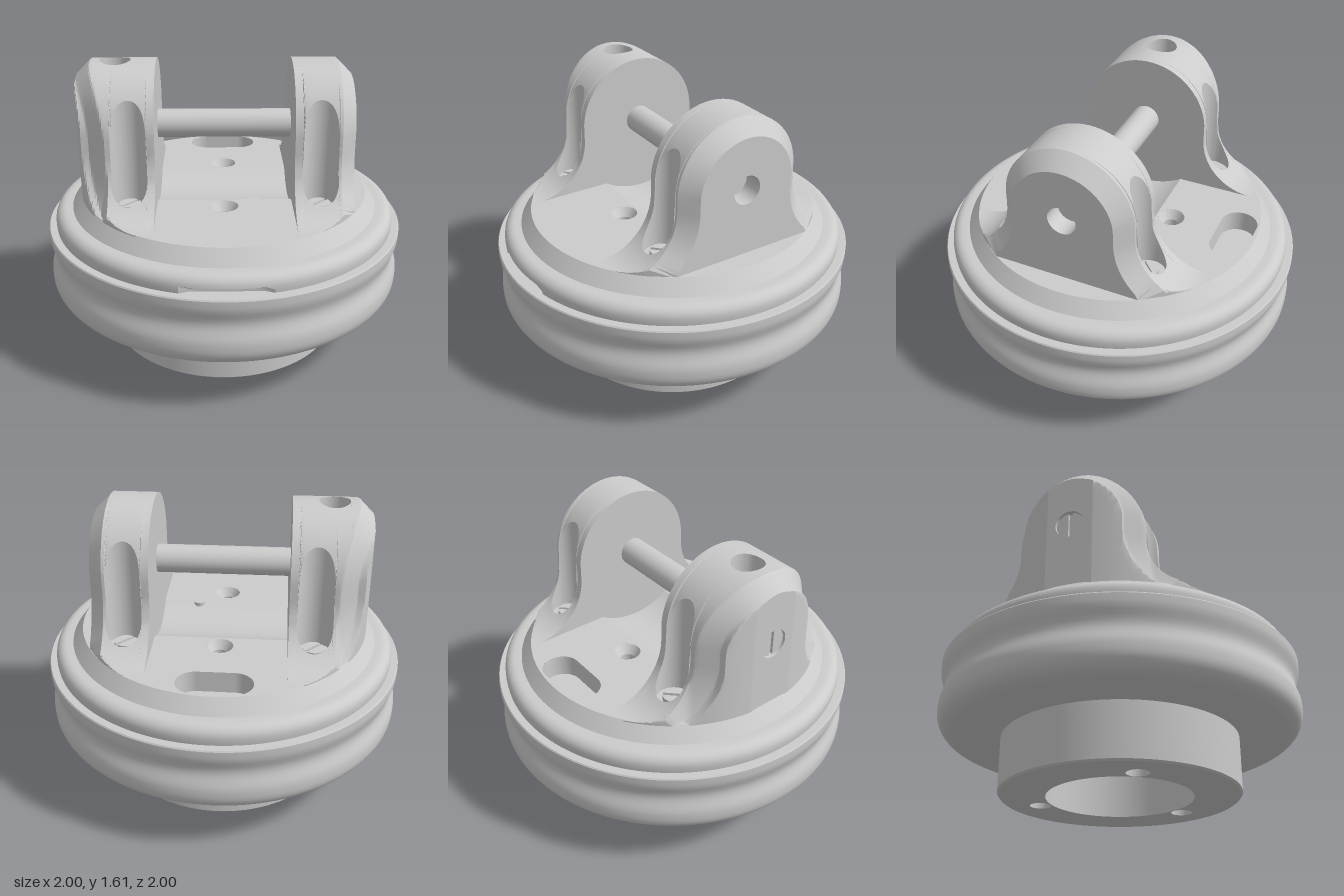
import * as THREE from 'three';
import { toCreasedNormals } from 'three/addons/utils/BufferGeometryUtils.js';

const mat = new THREE.MeshStandardMaterial({ color: 0xcccccc });
const inside = new THREE.MeshStandardMaterial({ color: 0xcccccc, side: THREE.BackSide });
const V = (x, y) => new THREE.Vector2(x, y);

const ARC = 0.355, ARC_Y = 1.25;            // rounded top of a bracket
const FLARE = 0.31, FLARE_Z = 0.665, FLARE_Y = 1.19; // concave foot
const BORE_X = 0.5, BORE_Z = 0.38, BORE_R = 0.095, BORE_FLOOR = 0.9;
const TOP_X = -0.585, TOP_R = 0.083, TOP_FLOOR = 1.45;
const AXLE_Y = 1.245, AXLE_R = 0.078;
const FACE_X = 0.365, DECK_Y = 0.88;

function add(group, name, geo, material = mat) {
  const mesh = new THREE.Mesh(geo, material);
  mesh.name = name;
  group.add(mesh);
  return mesh;
}

function circleHole(x, y, r) {
  return new THREE.Path().absarc(x, y, r, 0, Math.PI * 2, true);
}

// Bracket outline: t 0..1 runs over the top arc, 1..2 down the flared foot
function outline(t) {
  if (t <= 1) {
    const a = t * Math.PI / 2, s = Math.sin(a), c = Math.cos(a);
    return { z: ARC * s, y: ARC_Y + ARC * c, nz: s, ny: c };
  }
  const a = (t - 1) * Math.PI / 2, s = Math.sin(a), c = Math.cos(a);
  return { z: FLARE_Z - FLARE * c, y: FLARE_Y - FLARE * s, nz: c, ny: s };
}
const tAt = z => (z <= ARC ? Math.asin(z / ARC) : Math.PI / 2 + Math.acos((FLARE_Z - z) / FLARE)) / (Math.PI / 2);
const chord = (d, r) => Math.sqrt(Math.max(0, r * r - d * d));

// Cross-section of a bracket at x, cut by the screw bores and rounded to the deck
function section(x) {
  const side = Math.sign(x), limit = chord(x, side > 0 ? 0.8 : 0.805);
  const s = chord(Math.abs(x) - BORE_X, BORE_R);
  const sTop = chord(x - TOP_X, TOP_R);
  const half = [];
  const run = (t0, t1, n) => {
    for (let i = 0; i <= n; i++) {
      const p = outline(t0 + (t1 - t0) * i / n);
      const past = Math.max(0, Math.abs(x) - 0.61);
      const d = side > 0 ? past : Math.min(past * 2, 0.08, Math.max(0, Math.hypot(x, Math.min(p.z, limit)) - 0.72));
      half.push([Math.min(Math.max(0, p.z - d * p.nz), limit), Math.max(0.87, p.y - d * p.ny)]);
    }
  };
  const topY = Math.abs(x - TOP_X) <= TOP_R + 1e-6 ? TOP_FLOOR : outline(0).y;
  if (sTop > 0) half.push([0, topY], [sTop, topY]);
  else half.push([0, outline(0).y - (side > 0 ? Math.max(0, x - 0.61) : 0)], [0, outline(0).y]);
  if (sTop === 0) half.length = 0;
  const lead = half.length;
  run(tAt(sTop), tAt(BORE_Z - s), 20);
  if (!lead) half.unshift(half[0], half[0]);
  const inBore = s > 0;
  const mid = half[half.length - 1];
  half.push(inBore ? [BORE_Z - s, BORE_FLOOR] : mid, inBore ? [BORE_Z + s, BORE_FLOOR] : mid);
  run(tAt(BORE_Z + s), 2, 12);
  half.push([half[half.length - 1][0], 0.79]);
  return [...half.slice(1).reverse().map(([z, y]) => [-z, y]), ...half];
}

// Skin between neighbouring cross-sections, leaving out empty triangles
function loft(xs) {
  const rows = xs.map(x => section(x).map(([z, y]) => new THREE.Vector3(x, y, z)));
  const pos = [], n = new THREE.Vector3(), e = new THREE.Vector3();
  const tri = (a, b, c) => {
    n.subVectors(b, a).cross(e.subVectors(c, a));
    if (n.length() > 1e-8) for (const p of [a, b, c]) pos.push(p.x, p.y, p.z);
  };
  for (let i = 0; i < rows.length - 1; i++) {
    const A = rows[i], B = rows[i + 1];
    for (let j = 0; j < A.length - 1; j++) {
      tri(A[j], A[j + 1], B[j]);
      tri(A[j + 1], B[j + 1], B[j]);
    }
  }
  const geo = new THREE.BufferGeometry();
  geo.setAttribute('position', new THREE.Float32BufferAttribute(pos, 3));
  return toCreasedNormals(geo, 0.5);
}

function endFace(x, facing, hole) {
  const pts = section(x).map(([z, y]) => V(z, y))
    .filter((p, i, all) => !i || p.distanceTo(all[i - 1]) > 1e-5);
  const shape = new THREE.Shape(pts);
  if (hole) shape.holes.push(circleHole(0, AXLE_Y, AXLE_R));
  return new THREE.ShapeGeometry(shape, 24).rotateY(facing * Math.PI / 2).translate(x, 0, 0);
}

// Hollow bore seen from within, optionally tapered
function bore(group, name, x, z, yTop, yLow, rTop, rLow = rTop) {
  const geo = new THREE.CylinderGeometry(rTop, rLow, yTop - yLow, 32, 1, true);
  return add(group, name, geo.translate(x, (yTop + yLow) / 2, z), inside);
}

// Slotted head made of two circle segments on a disc, standing on y = 0
function slottedHead(r, h, name) {
  const g = new THREE.Group();
  g.name = name;
  add(g, 'headDisc', new THREE.CylinderGeometry(r, r, h / 2, 32).translate(0, h / 4, 0));
  const a = Math.asin(0.15);
  const segment = new THREE.Shape().absarc(0, 0, r, a, Math.PI - a, false);
  for (const turn of [0, Math.PI]) {
    const geo = new THREE.ExtrudeGeometry(segment, { depth: h, bevelEnabled: false, curveSegments: 20 });
    add(g, 'headHalf', geo.rotateX(-Math.PI / 2).rotateY(turn));
  }
  return g;
}

function bracket(side) {
  const g = new THREE.Group();
  g.name = side > 0 ? 'leftBracket' : 'rightBracket';
  const end = side > 0 ? 0.69 : -0.795;
  const xs = [side * FACE_X, side * 0.61, end];
  for (let k = 0; k <= 20; k++) {
    const c = Math.cos(k * Math.PI / 20);
    xs.push(side * BORE_X + BORE_R * c);
    if (side < 0) xs.push(TOP_X + TOP_R * c);
  }
  if (side < 0) for (let k = 1; k < 16; k++) xs.push(-0.67 - 0.125 * k / 16);
  xs.sort((a, b) => a - b);
  add(g, 'bracketBody', loft(xs.filter((x, i) => !i || x - xs[i - 1] > 1e-5)));
  add(g, 'innerFace', endFace(side * FACE_X, -side, false));
  add(g, 'outerFace', endFace(end, side, true));
  // recessed axle seat
  const seat = new THREE.CylinderGeometry(AXLE_R, AXLE_R, 0.12, 32, 1, true).rotateZ(Math.PI / 2);
  add(g, 'axleSeat', seat.translate(end - side * 0.06, AXLE_Y, 0), inside);
  for (const z of [-BORE_Z, BORE_Z]) {
    const screw = slottedHead(0.058, 0.03, 'mountingScrew');
    screw.position.set(side * BORE_X, BORE_FLOOR, z);
    screw.rotation.y = Math.PI / 4;
    g.add(screw);
  }
  return g;
}

export function createModel() {
  const model = new THREE.Group();
  model.name = 'axleMount';

  // Turned body: spigot, grooved ring, rounded cap and conical shoulder
  const pts = [V(0.645, 0), V(0.655, 0.01), V(0.655, 0.305), V(0.895, 0.305)];
  for (let i = 1; i <= 8; i++) {
    const a = i / 8 * Math.PI / 2;
    pts.push(V(0.895 + 0.105 * Math.sin(a), 0.41 - 0.105 * Math.cos(a)));
  }
  for (let i = 0; i <= 10; i++) pts.push(V(1 - 0.026 * Math.sin(i / 10 * Math.PI) ** 2, 0.44 + 0.22 * i / 10));
  pts.push(V(1, 0.695), V(0.995, 0.702), V(0.955, 0.702), V(0.957, 0.72));
  for (let i = 0; i <= 6; i++) {
    const a = i / 6 * Math.PI / 2;
    pts.push(V(0.897 + 0.06 * Math.cos(a), 0.74 + 0.06 * Math.sin(a)));
  }
  pts.push(V(0.86, 0.8), V(0.8, DECK_Y));
  const body = new THREE.LatheGeometry(pts, 128);
  // finger notch at the front of the cap
  const p = body.attributes.position;
  for (let i = 0; i < p.count; i++) {
    const y = p.getY(i), z = p.getZ(i);
    if (y > 0.701 && y < 0.73 && Math.abs(p.getX(i)) < 0.19 && z > 0.8 && z < 0.96) p.setZ(i, Math.min(z, 0.91));
  }
  add(model, 'turnedBody', toCreasedNormals(body, 0.5));

  // Deck with trough opening, countersinks and oblong pocket
  const deck = new THREE.Shape().absarc(0, 0, 0.8, 0, Math.PI * 2, false);
  const T = 0.23;
  deck.holes.push(new THREE.Path([V(-FACE_X, -T), V(-FACE_X, T), V(FACE_X, T), V(FACE_X, -T)]));
  for (const z of [-0.315, 0.315]) {
    deck.holes.push(circleHole(0, -z, 0.073));
    bore(model, 'countersink', 0, z, DECK_Y, 0.83, 0.073, 0.042);
    bore(model, 'deckBore', 0, z, 0.83, 0.5, 0.042);
  }
  const oblong = new THREE.Path().absarc(0.1, 0.68, 0.1, -Math.PI / 2, Math.PI / 2, false)
    .absarc(-0.1, 0.68, 0.1, Math.PI / 2, Math.PI * 1.5, false);
  deck.holes.push(oblong);
  add(model, 'deck', new THREE.ShapeGeometry(deck, 64).rotateX(-Math.PI / 2).translate(0, DECK_Y, 0));
  const rim = new THREE.Shape(oblong.getPoints(16));
  const pocket = new THREE.ExtrudeGeometry(rim, { depth: 0.12, bevelEnabled: false });
  pocket.clearGroups();
  const pocketMesh = add(model, 'oblongPocket', pocket.rotateX(-Math.PI / 2).translate(0, DECK_Y - 0.12, 0), inside);
  pocketMesh.geometry.setDrawRange(0, Infinity);

  // Concave trough beneath the axle
  const trough = new THREE.PlaneGeometry(FACE_X * 2, T * 2, 1, 20).rotateX(-Math.PI / 2);
  const q = trough.attributes.position;
  const depth = Math.sqrt(0.425 ** 2 - T * T);
  for (let i = 0; i < q.count; i++) q.setY(i, DECK_Y + depth - Math.sqrt(0.425 ** 2 - q.getZ(i) ** 2));
  trough.computeVertexNormals();
  add(model, 'trough', trough);
  add(model, 'troughPin', new THREE.CylinderGeometry(0.033, 0.033, 0.05, 24).translate(0.16, 0.848, 0.21));

  // Underside: ring face with three bolt holes and a wide central bore
  const base = new THREE.Shape().absarc(0, 0, 0.645, 0, Math.PI * 2, false);
  base.holes.push(circleHole(0, 0, 0.4));
  for (const deg of [-90, 30, 150]) {
    const a = deg * Math.PI / 180, x = 0.465 * Math.cos(a), z = 0.465 * Math.sin(a);
    base.holes.push(circleHole(x, z, 0.06));
    bore(model, 'boltHole', x, z, 0.3, 0, 0.06);
    add(model, 'boltHoleEnd', new THREE.CircleGeometry(0.06, 32).rotateX(Math.PI / 2).translate(x, 0.3, z));
  }
  add(model, 'baseFace', new THREE.ShapeGeometry(base, 64).rotateX(Math.PI / 2));
  bore(model, 'centralBore', 0, 0, 0.36, 0, 0.4).geometry = new THREE.CylinderGeometry(0.4, 0.4, 0.36, 64, 1, true).translate(0, 0.18, 0);
  const ceiling = new THREE.Shape().absarc(0, 0, 0.4, 0, Math.PI * 2, false);
  ceiling.holes.push(circleHole(-0.17, 0.2, 0.03));
  add(model, 'boreCeiling', new THREE.ShapeGeometry(ceiling, 48).rotateX(Math.PI / 2).translate(0, 0.36, 0));
  bore(model, 'ventHole', -0.17, 0.2, 0.6, 0.36, 0.03);

  // Brackets, axle and its fasteners
  model.add(bracket(1), bracket(-1));
  const axle = new THREE.CylinderGeometry(AXLE_R, AXLE_R, 1.33, 40).rotateZ(Math.PI / 2);
  add(model, 'axle', axle.translate(-0.085, AXLE_Y, 0));
  const axleEnd = slottedHead(AXLE_R - 0.002, 0.03, 'axleEnd');
  axleEnd.position.set(-0.75, AXLE_Y, 0);
  axleEnd.rotation.z = Math.PI / 2;
  model.add(axleEnd);
  const setScrew = new THREE.Shape().absarc(0, 0, 0.07, 0, Math.PI * 2, false);
  setScrew.holes.push(circleHole(0, 0, 0.03));
  const setGeo = new THREE.ExtrudeGeometry(setScrew, { depth: 0.04, bevelEnabled: false, curveSegments: 24 });
  add(model, 'setScrew', setGeo.rotateX(-Math.PI / 2).translate(TOP_X, TOP_FLOOR, 0));
  return model;
}
